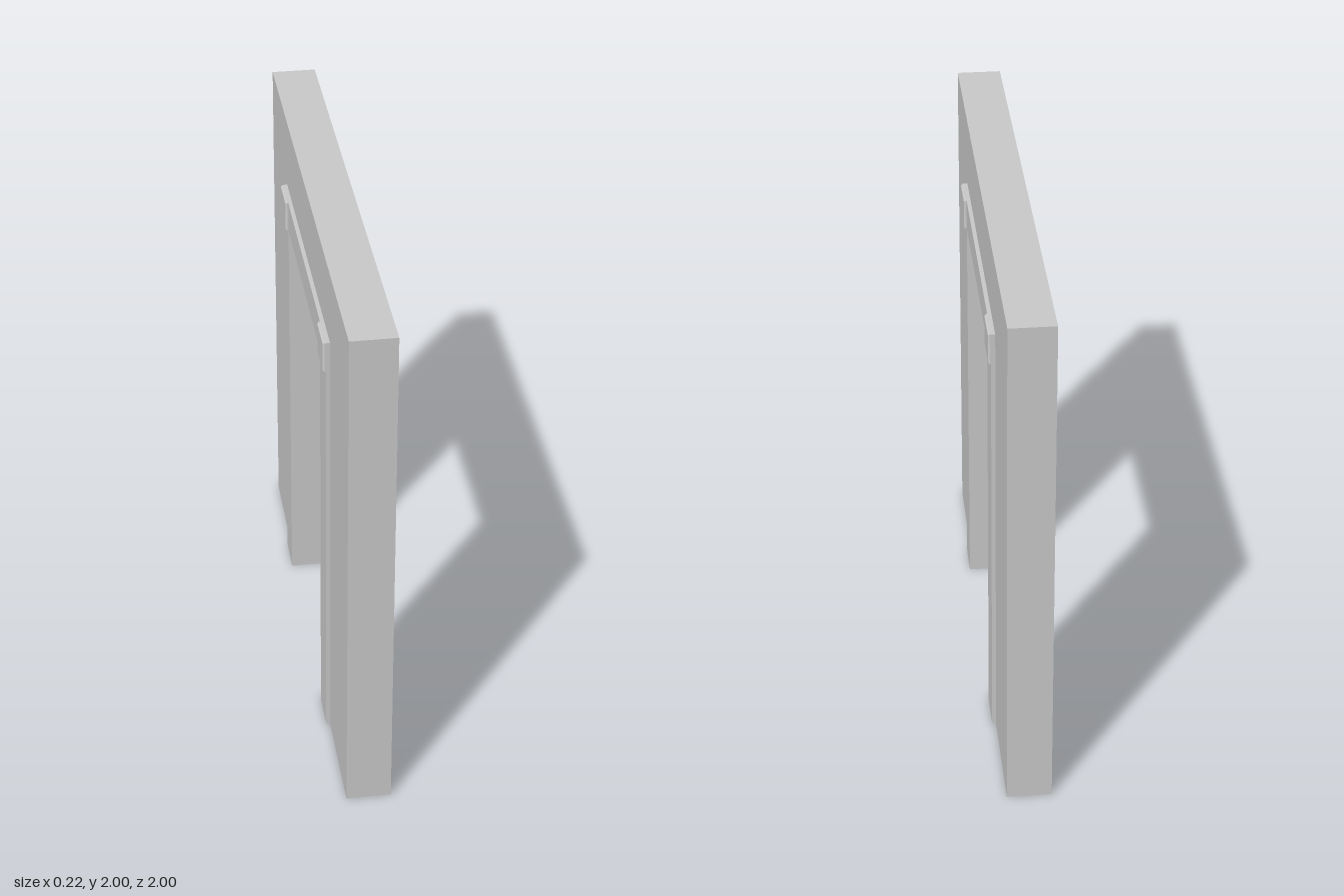
import * as THREE from 'three';

const HEIGHT = 1.995, WALL = 0.083, TRIM = 0.098, BLOCK = 0.108;
const INNER = 0.43, OUTER = 0.575, LINTEL = 1.605, TOP = 1.725, BEVEL = 0.006;

const material = new THREE.MeshStandardMaterial({ color: 0xcccccc, flatShading: true });

function add(parent, name, geometry, x = 0, y = 0, z = 0) {
  const mesh = new THREE.Mesh(geometry, material);
  mesh.name = name;
  mesh.position.set(x, y, z);
  parent.add(mesh);
}

// Flat trim board standing on the wall face
function board(parent, name, z0, z1, y0, y1) {
  add(parent, name, new THREE.BoxGeometry(TRIM - WALL, y1 - y0, z1 - z0),
    (WALL + TRIM) / 2, (y0 + y1) / 2, (z0 + z1) / 2);
}

// Wall outline with the doorway cut out, extruded through its thickness along x
function wallGeometry() {
  const shape = new THREE.Shape([
    [-1, 0], [-INNER, 0], [-INNER, LINTEL], [INNER, LINTEL],
    [INNER, 0], [1, 0], [1, HEIGHT], [-1, HEIGHT],
  ].map(([x, y]) => new THREE.Vector2(x, y)));
  return new THREE.ExtrudeGeometry(shape, { depth: 2 * WALL, bevelEnabled: false })
    .translate(0, 0, -WALL).rotateY(Math.PI / 2);
}

// Corner block with a chamfered outer face; its back is sunk into the wall
function blockGeometry() {
  const w = (OUTER - INNER) / 2, h = (TOP - LINTEL) / 2;
  const shape = new THREE.Shape([[-w, -h], [w, -h], [w, h], [-w, h]]
    .map(([x, y]) => new THREE.Vector2(x, y)));
  const start = WALL - 0.01;
  return new THREE.ExtrudeGeometry(shape, {
    depth: BLOCK - BEVEL - start, bevelSegments: 1,
    bevelThickness: BEVEL, bevelSize: BEVEL, bevelOffset: -BEVEL,
  }).translate(0, 0, start).rotateY(Math.PI / 2);
}

export function createModel() {
  const model = new THREE.Group();
  model.name = 'doorway';
  add(model, 'wall', wallGeometry());

  // The same door casing on both faces of the wall
  for (const side of ['left', 'right']) {
    const casing = new THREE.Group();
    casing.name = side + 'Casing';
    board(casing, 'headTrim', -INNER, INNER, LINTEL, TOP);
    board(casing, 'frontJambTrim', INNER, OUTER, 0, LINTEL);
    board(casing, 'backJambTrim', -OUTER, -INNER, 0, LINTEL);
    for (const s of [1, -1]) {
      add(casing, s > 0 ? 'frontCornerBlock' : 'backCornerBlock', blockGeometry(),
        0, (LINTEL + TOP) / 2, s * (INNER + OUTER) / 2);
    }
    if (side === 'right') casing.rotation.y = Math.PI;
    model.add(casing);
  }
  return model;
}
